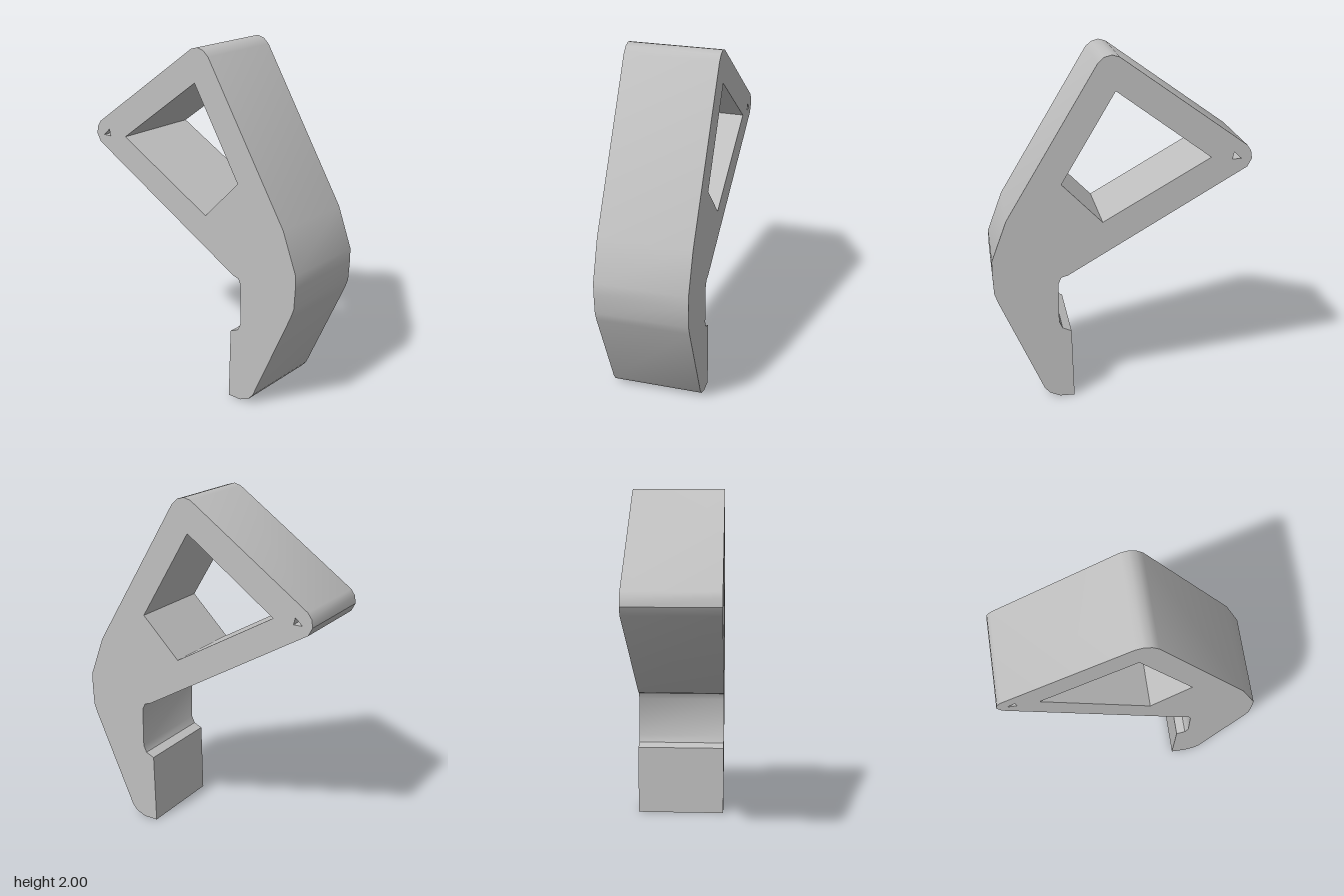
import * as THREE from 'three';
import { toCreasedNormals } from 'three/addons/utils/BufferGeometryUtils.js';

const WIDTH = 0.53;
const toPoints = (list) => list.map(([z, y]) => new THREE.Vector2(z, y));

// Side profile of the bracket as (z, y)
const profile = [
  // foot and front face
  [0.285, 0], [0.37, 0], [0.43, 0.025], [0.46, 0.06], [0.71, 0.615], [0.73, 0.67],
  [0.737, 0.79], [0.737, 0.865], [0.65, 1.1],
  // rounded top corner
  [0.137, 1.957], [0.103, 1.988], [0.06, 2], [0.018, 1.988],
  // rounded rear corner
  [-0.7, 1.478], [-0.723, 1.445], [-0.73, 1.4], [-0.705, 1.353],
  // underside and notch behind the leg
  [0.315, 0.757], [0.35, 0.748], [0.367, 0.71], [0.367, 0.477], [0.348, 0.435], [0.297, 0.413],
];

// Large window and small pin hole
const windowHole = [[0.04, 1.805], [-0.497, 1.415], [0.113, 1.065], [0.342, 1.295]];
const pinHole = [[-0.628, 1.44], [-0.67, 1.4], [-0.618, 1.4]];

export function createModel() {
  const group = new THREE.Group();
  group.name = 'bracket';

  const grey = new THREE.MeshStandardMaterial({ color: 0xbfbfbf });
  grey.name = 'light grey';

  const shape = new THREE.Shape(toPoints(profile));
  for (const hole of [windowHole, pinHole]) shape.holes.push(new THREE.Path(toPoints(hole)));

  // Extrude across the width, then turn the profile to face sideways
  const solid = new THREE.ExtrudeGeometry(shape, { depth: WIDTH, bevelEnabled: false });
  solid.translate(0, 0, -WIDTH / 2);
  solid.rotateY(-Math.PI / 2);

  const body = new THREE.Mesh(toCreasedNormals(solid, 0.6), grey);
  body.name = 'bracketBody';
  group.add(body);
  return group;
}
